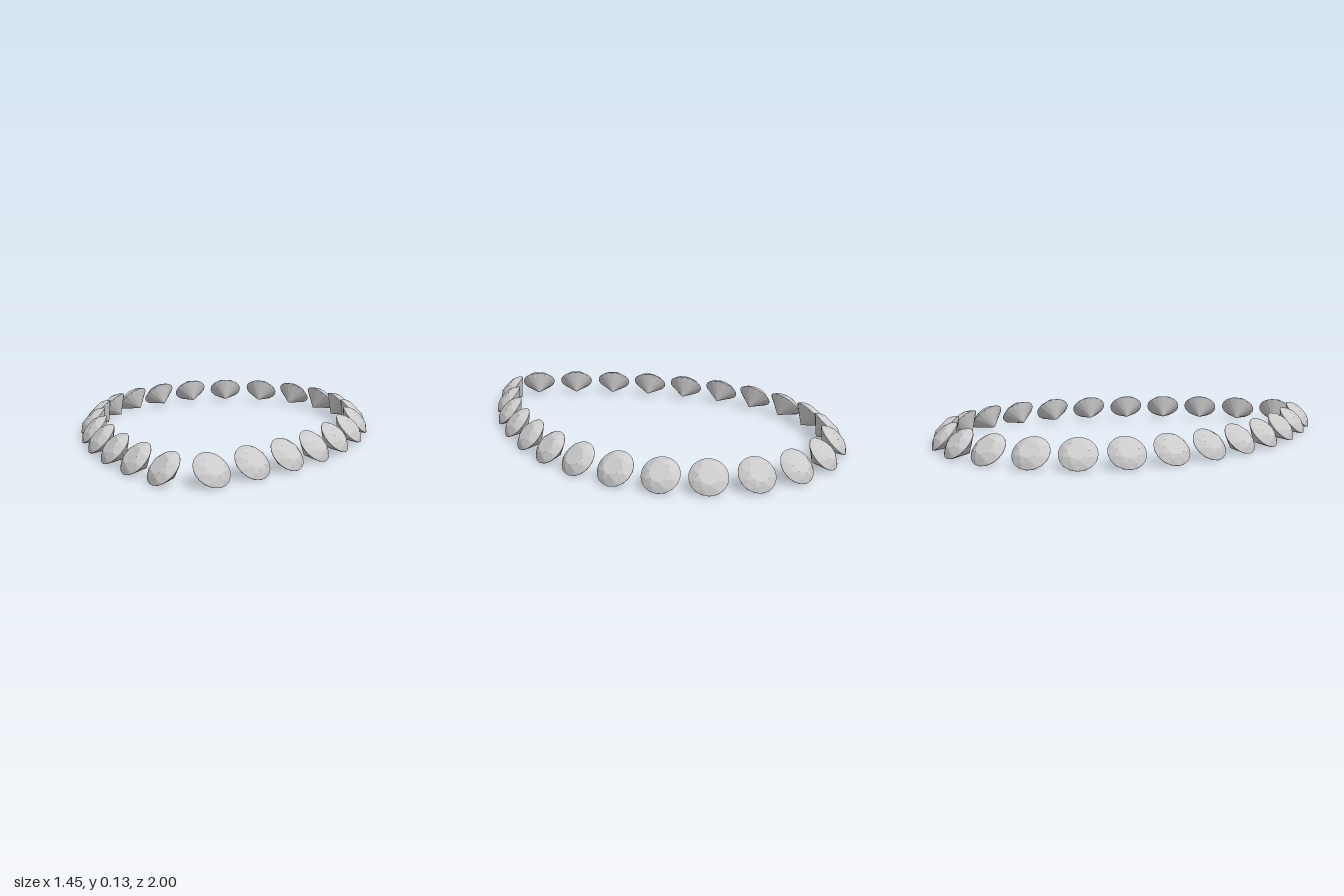
import * as THREE from 'three';
import { ConvexGeometry } from 'three/addons/geometries/ConvexGeometry.js';

const R = 0.086; // girdle radius of one stone

// Round brilliant cut: table faces +y, culet points to -y
function gemGeometry() {
  const points = [];
  const ring = (radius, y, count, offset = 0) => {
    for (let i = 0; i < count; i++) {
      const a = ((i + offset) / count) * Math.PI * 2;
      points.push(new THREE.Vector3(Math.cos(a) * radius, y, Math.sin(a) * radius));
    }
  };
  ring(R * 0.54, 0.03, 8);        // table
  ring(R * 0.78, 0.0195, 8, 0.5); // star and kite corners
  ring(R, 0.0015, 32);            // girdle, upper edge
  ring(R, -0.0015, 16);           // girdle, lower edge
  points.push(new THREE.Vector3(0, -0.073, 0)); // culet
  return new ConvexGeometry(points);
}

// Stone centres (x, z) along the left half, from the back to the front point
const strand = [
  [0.106, -0.939], [0.304, -0.87], [0.463, -0.735], [0.577, -0.566],
  [0.646, -0.368], [0.664, -0.159], [0.638, 0.048], [0.577, 0.249],
  [0.492, 0.439], [0.384, 0.616], [0.251, 0.78], [0.1, 0.926],
];

export function createModel() {
  const necklace = new THREE.Group();
  necklace.name = 'necklace';
  const material = new THREE.MeshStandardMaterial({ color: 0xcccccc, flatShading: true });
  const geometry = gemGeometry();
  const up = new THREE.Vector3(0, 1, 0);

  for (const side of [1, -1]) {
    const half = new THREE.Group();
    half.name = side > 0 ? 'leftStrand' : 'rightStrand';
    strand.forEach(([x, z], i) => {
      // Tangent from the neighbouring stones; the back continues across the middle
      const before = i > 0 ? strand[i - 1] : [-x, z];
      const after = strand[i + 1] ?? [x, z];
      const tangent = new THREE.Vector3(side * (after[0] - before[0]), 0, after[1] - before[1]).normalize();
      const outward = new THREE.Vector3().crossVectors(up, tangent).multiplyScalar(side);

      // Each stone leans so that its table looks outward and up
      const normal = outward.clone().multiplyScalar(0.727).addScaledVector(up, 0.687).normalize();
      const across = new THREE.Vector3().crossVectors(tangent, normal);
      const gem = new THREE.Mesh(geometry, material);
      gem.name = 'gem';
      gem.quaternion.setFromRotationMatrix(new THREE.Matrix4().makeBasis(tangent, normal, across));
      gem.position.set(side * x, 0.0635, z);
      half.add(gem);
    });
    necklace.add(half);
  }
  return necklace;
}
